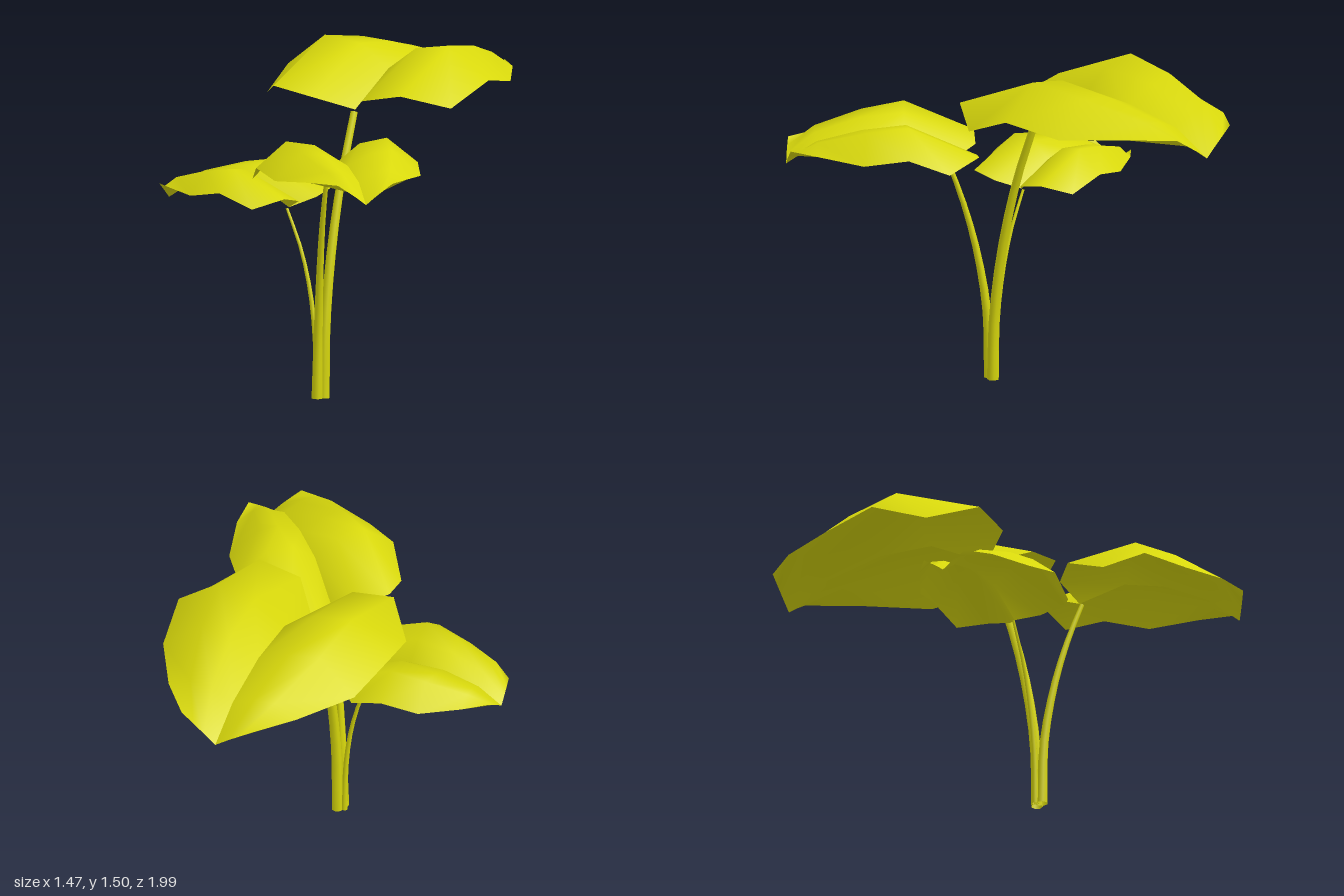
import * as THREE from 'three';

const leafGreen = new THREE.MeshStandardMaterial({ color: 0xd8d80c, side: THREE.DoubleSide });
leafGreen.name = 'yellowGreen';

// Half-leaf cross-sections from stalk to tip; each point is [across, along, height],
// running from the midrib to the outer edge.
const SECTIONS = [
  [[0, 0, 0], [0.125, -0.155, 0.065], [0.32, -0.155, 0.10], [0.465, 0.03, 0.035]],
  [[0, 0.28, 0.145], [0.14, 0.28, 0.245], [0.315, 0.27, 0.27], [0.505, 0.28, 0.13]],
  [[0, 0.55, 0.16], [0.14, 0.55, 0.22], [0.28, 0.53, 0.235], [0.455, 0.55, 0.09]],
  [[0, 0.82, 0.105], [0.1, 0.82, 0.15], [0.2, 0.82, 0.165], [0.305, 0.82, 0.11]],
  [[0, 1, 0], [0.057, 0.995, 0.04], [0.113, 0.988, 0.075], [0.17, 0.98, 0.11]],
];

// One smooth half of a leaf; the halves share no vertices so the midrib stays sharp
function halfLeaf(side) {
  const positions = [], index = [];
  const cols = SECTIONS[0].length;
  for (const row of SECTIONS)
    for (const [across, along, height] of row) positions.push(side * across, height, -along);
  for (let r = 0; r < SECTIONS.length - 1; r++) {
    for (let c = 0; c < cols - 1; c++) {
      const a = r * cols + c, b = a + 1, d = a + cols, e = d + 1;
      if (side > 0) index.push(a, b, d, b, e, d);
      else index.push(a, d, b, b, d, e);
    }
  }
  const geometry = new THREE.BufferGeometry();
  geometry.setAttribute('position', new THREE.Float32BufferAttribute(positions, 3));
  geometry.setIndex(index);
  geometry.computeVertexNormals();
  return geometry;
}

// Whole leaf, with its stalk end at the given position and turned about y
function makeLeaf(name, position, angle, scale, heightScale) {
  const leaf = new THREE.Group();
  leaf.name = name;
  for (const side of [-1, 1]) {
    const half = new THREE.Mesh(halfLeaf(side), leafGreen);
    half.name = side > 0 ? 'rightLeafHalf' : 'leftLeafHalf';
    leaf.add(half);
  }
  leaf.position.set(...position);
  leaf.rotation.y = angle;
  leaf.scale.set(scale, heightScale, scale);
  return leaf;
}

// Curved stem that tapers towards the leaf
function makeStem(name, points, baseRadius, topRadius) {
  const curve = new THREE.CatmullRomCurve3(points.map((p) => new THREE.Vector3(...p)));
  const rings = 10, sides = 7;
  const geometry = new THREE.TubeGeometry(curve, rings, 1, sides, false);
  const position = geometry.attributes.position;
  const vertex = new THREE.Vector3();
  for (let i = 0; i < position.count; i++) {
    const t = Math.floor(i / (sides + 1)) / rings;
    const centre = curve.getPointAt(t);
    vertex.fromBufferAttribute(position, i).sub(centre);
    vertex.multiplyScalar(THREE.MathUtils.lerp(baseRadius, topRadius, t)).add(centre);
    position.setXYZ(i, vertex.x, Math.max(0, vertex.y), vertex.z);
  }
  const stem = new THREE.Mesh(geometry, leafGreen);
  stem.name = name;
  return stem;
}

export function createModel() {
  const plant = new THREE.Group();
  plant.name = 'plant';

  // Leaves
  plant.add(
    makeLeaf('largeLeaf', [0.055, 1.23, 0], 0, 1, 1),
    makeLeaf('smallLeaf', [-0.13, 0.82, 0.25], Math.PI / 2, 0.605, 0.667),
    makeLeaf('mediumLeaf', [0.15, 0.972, 0.41], -Math.PI * 0.75, 0.715, 0.79),
  );

  // Stems
  plant.add(
    makeStem('largeStem', [[0.05, 0, 0.255], [0.05, 0.3, 0.245], [0.05, 0.62, 0.195], [0.05, 0.92, 0.115], [0.05, 1.22, 0]], 0.026, 0.016),
    makeStem('smallStem', [[0.02, 0, 0.265], [0.012, 0.25, 0.265], [-0.015, 0.45, 0.26], [-0.065, 0.64, 0.255], [-0.14, 0.815, 0.25]], 0.014, 0.006),
    makeStem('mediumStem', [[0.035, 0, 0.29], [0.045, 0.3, 0.295], [0.075, 0.58, 0.33], [0.115, 0.8, 0.375], [0.158, 0.968, 0.418]], 0.024, 0.01),
  );
  return plant;
}
